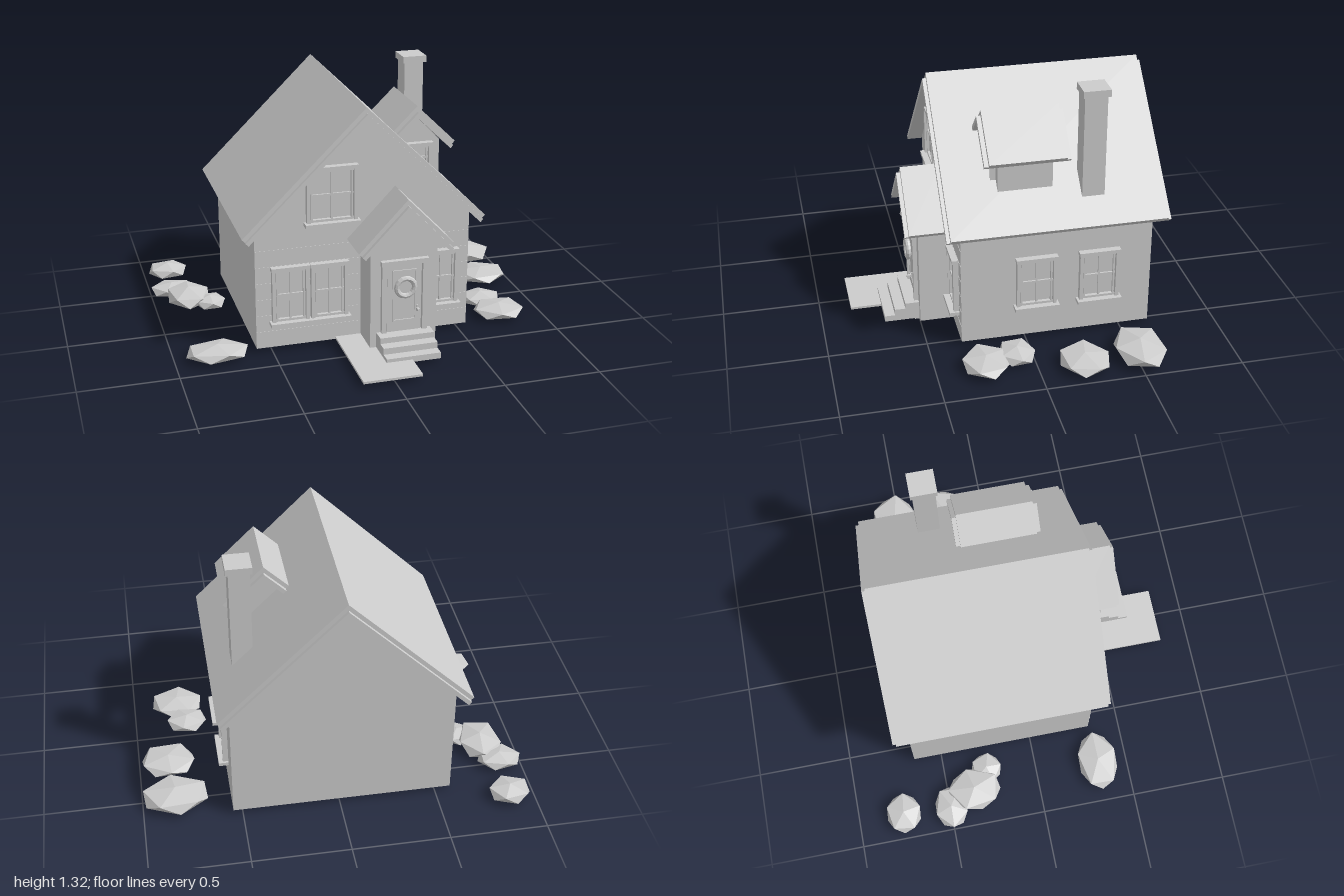
import * as THREE from 'three';

const material = new THREE.MeshStandardMaterial({ color: 0xcccccc, flatShading: true });

function add(parent, name, geometry, x = 0, y = 0, z = 0) {
  const mesh = new THREE.Mesh(geometry, material);
  mesh.name = name;
  mesh.position.set(x, y, z);
  parent.add(mesh);
  return mesh;
}

// Box given by its lower and upper limits on each axis
function block(parent, name, x0, x1, y0, y1, z0, z1) {
  return add(parent, name, new THREE.BoxGeometry(x1 - x0, y1 - y0, z1 - z0),
    (x0 + x1) / 2, (y0 + y1) / 2, (z0 + z1) / 2);
}

function prism(parent, name, points, z0, z1) {
  const shape = new THREE.Shape(points.map(([x, y]) => new THREE.Vector2(x, y)));
  return add(parent, name, new THREE.ExtrudeGeometry(shape, { depth: z1 - z0, bevelEnabled: false }), 0, 0, z0);
}

// Five-sided walls with a gable
function gableWalls(parent, name, x0, x1, y0, eaveY, apexX, apexY, z0, z1) {
  prism(parent, name, [[x0, y0], [x1, y0], [x1, eaveY], [apexX, apexY], [x0, eaveY]], z0, z1);
}

// Two stacked chevron layers; the lower one sticks out further at the gables
function gableRoof(name, x, ridgeY, half, eaveY, z0, z1, inset) {
  const roof = new THREE.Group();
  roof.name = name;
  const slope = (ridgeY - eaveY) / half, t = 0.03;
  const cut = t * slope / (1 + slope * slope);
  [['roofCover', 0, inset], ['roofTrim', 1, 0]].forEach(([part, layer, gap]) => {
    const top = ridgeY - layer * t;
    const end = half - layer * cut, low = end - cut;
    prism(roof, part, [
      [x, top], [x - end, top - end * slope], [x - low, top - t - low * slope],
      [x, top - t], [x + low, top - t - low * slope], [x + end, top - end * slope],
    ], z0 + gap, z1 - gap);
  });
  return roof;
}

// Four-pane window standing on its sill, facing +z
function makeWindow(name, w, h, sillOverhang = 0.012) {
  const g = new THREE.Group();
  g.name = name;
  const a = w / 2, f = 0.018, s = 0.009;
  block(g, 'glass', -a + f, a - f, f, h - f, -0.01, 0.006);
  for (const side of [-1, 1]) {
    const c = side * (a - f / 2), d = side * (a - f - s / 2 - 0.004);
    block(g, 'sideCasing', c - f / 2, c + f / 2, 0, h - f, -0.01, 0.028);
    block(g, 'sashSide', d - s / 2, d + s / 2, 0.004, h - f - 0.004, -0.01, 0.018);
  }
  block(g, 'topCasing', -a - 0.004, a + 0.004, h - f, h, -0.01, 0.034);
  block(g, 'sashTop', -a + f, a - f, h - f - 0.013, h - f - 0.004, -0.01, 0.018);
  block(g, 'sashBottom', -a + f, a - f, 0, 0.012, -0.01, 0.018);
  block(g, 'verticalBar', -0.005, 0.005, 0, h - f, -0.01, 0.015);
  block(g, 'crossBar', -a + f, a - f, h / 2 - 0.01, h / 2, -0.01, 0.015);
  block(g, 'sill', -a - sillOverhang, a + sillOverhang, -0.018, 0, -0.01, 0.05);
  return g;
}

export function createModel() {
  const model = new THREE.Group();
  model.name = 'cottage';

  // Main house
  gableWalls(model, 'houseWalls', -0.58, 0.548, 0.02, 0.648, -0.02, 1.207, -0.65, 0.33);
  model.add(gableRoof('mainRoof', -0.02, 1.265, 0.632, 0.645, -0.73, 0.405, 0.018));

  // Thin clapboard ledges across the front
  for (let i = 1; i <= 6; i++) {
    const y = 0.02 + i * 0.088;
    block(model, 'clapboard', -0.58, 0.548, y, y + 0.003, 0.325, 0.332);
  }

  // Chimney
  block(model, 'chimneyShaft', 0.395, 0.5, 0.72, 1.29, -0.408, -0.293);
  block(model, 'chimneyCap', 0.384, 0.514, 1.287, 1.323, -0.42, -0.283);

  // Dormer
  gableWalls(model, 'dormerWalls', 0.17, 0.45, 0.78, 0.985, 0.31, 1.128, -0.155, 0.122);
  model.add(gableRoof('dormerRoof', 0.31, 1.186, 0.206, 0.985, -0.235, 0.198, 0.022));

  // Entrance porch
  gableWalls(model, 'porchWalls', -0.032, 0.316, 0.02, 0.602, 0.142, 0.778, 0.32, 0.503);
  model.add(gableRoof('porchRoof', 0.142, 0.835, 0.25, 0.575, 0.325, 0.577, 0.02));

  // Windows: [name, x, sill height, z, width, height, turn]
  const quarter = Math.PI / 2;
  [
    ['frontWindow', -0.403, 0.166, 0.33, 0.192, 0.296, 0],
    ['frontWindow', -0.201, 0.166, 0.33, 0.192, 0.296, 0],
    ['frontWindow', 0.394, 0.166, 0.33, 0.186, 0.296, 0],
    ['atticWindow', -0.186, 0.682, 0.33, 0.26, 0.288, 0],
    ['dormerWindow', 0.31, 0.825, 0.122, 0.19, 0.155, 0],
    ['sideWindow', 0.548, 0.204, -0.052, 0.205, 0.272, quarter],
    ['sideWindow', 0.548, 0.204, -0.376, 0.205, 0.272, quarter],
  ].forEach(([name, x, y, z, w, h, turn]) => {
    const win = makeWindow(name, w, h);
    win.position.set(x, y, z);
    win.rotation.y = turn;
    model.add(win);
  });

  // Front door with casing, raised panel, wreath and handle
  const door = new THREE.Group();
  door.name = 'frontDoor';
  block(door, 'doorCasingLeft', 0.236, 0.262, 0.1, 0.48, 0.49, 0.525);
  block(door, 'doorCasingRight', 0.022, 0.048, 0.1, 0.48, 0.49, 0.525);
  block(door, 'doorCasingTop', 0.018, 0.266, 0.48, 0.505, 0.49, 0.53);
  block(door, 'doorLeaf', 0.052, 0.232, 0.1, 0.476, 0.49, 0.514);
  for (const x of [0.083, 0.201]) {
    block(door, 'panelMoulding', x - 0.004, x + 0.004, 0.175, 0.445, 0.5, 0.52);
  }
  for (const y of [0.175, 0.445]) {
    block(door, 'panelMoulding', 0.079, 0.205, y - 0.004, y + 0.004, 0.5, 0.52);
  }
  add(door, 'wreath', new THREE.TorusGeometry(0.047, 0.014, 8, 16), 0.142, 0.362, 0.535);
  block(door, 'handlePlate', 0.204, 0.212, 0.218, 0.252, 0.51, 0.528);
  block(door, 'handleGrip', 0.202, 0.214, 0.228, 0.24, 0.525, 0.552);
  model.add(door);

  // Steps, footing and garden path
  [[0.115, 0.575], [0.085, 0.63], [0.052, 0.683]].forEach(([top, front]) =>
    block(model, 'step', 0, 0.284, 0.02, top, 0.49, front));
  block(model, 'stepFooting', 0.02, 0.262, 0, 0.03, 0.49, 0.525);
  block(model, 'gardenPath', -0.167, 0.135, 0.022, 0.034, 0.33, 0.843);

  // Bushes: [x, z, half width, half depth, height, turn]
  [
    [-0.87, -0.755, 0.108, 0.095, 0.085, 0.2],
    [-0.885, -0.495, 0.115, 0.09, 0.075, 0.9],
    [-0.815, -0.355, 0.115, 0.145, 0.1, 0.5],
    [-0.71, -0.27, 0.083, 0.083, 0.075, 1.3],
    [-0.785, 0.34, 0.16, 0.108, 0.08, 0.3],
    [0.83, -0.52, 0.17, 0.132, 0.105, 0.1],
    [0.847, -0.23, 0.143, 0.127, 0.075, 0.7],
    [0.722, 0.085, 0.108, 0.092, 0.075, 0.4],
    [0.765, 0.25, 0.138, 0.12, 0.075, 1.1],
  ].forEach(([x, z, rx, rz, height, turn]) => {
    const geometry = new THREE.IcosahedronGeometry(1, 0);
    geometry.rotateX(-Math.atan((1 + Math.sqrt(5)) / 2)).rotateY(turn);
    geometry.scale(rx * 1.1, height / 2, rz * 1.1);
    add(model, 'bush', geometry, x, height / 2, z);
  });

  return model;
}
